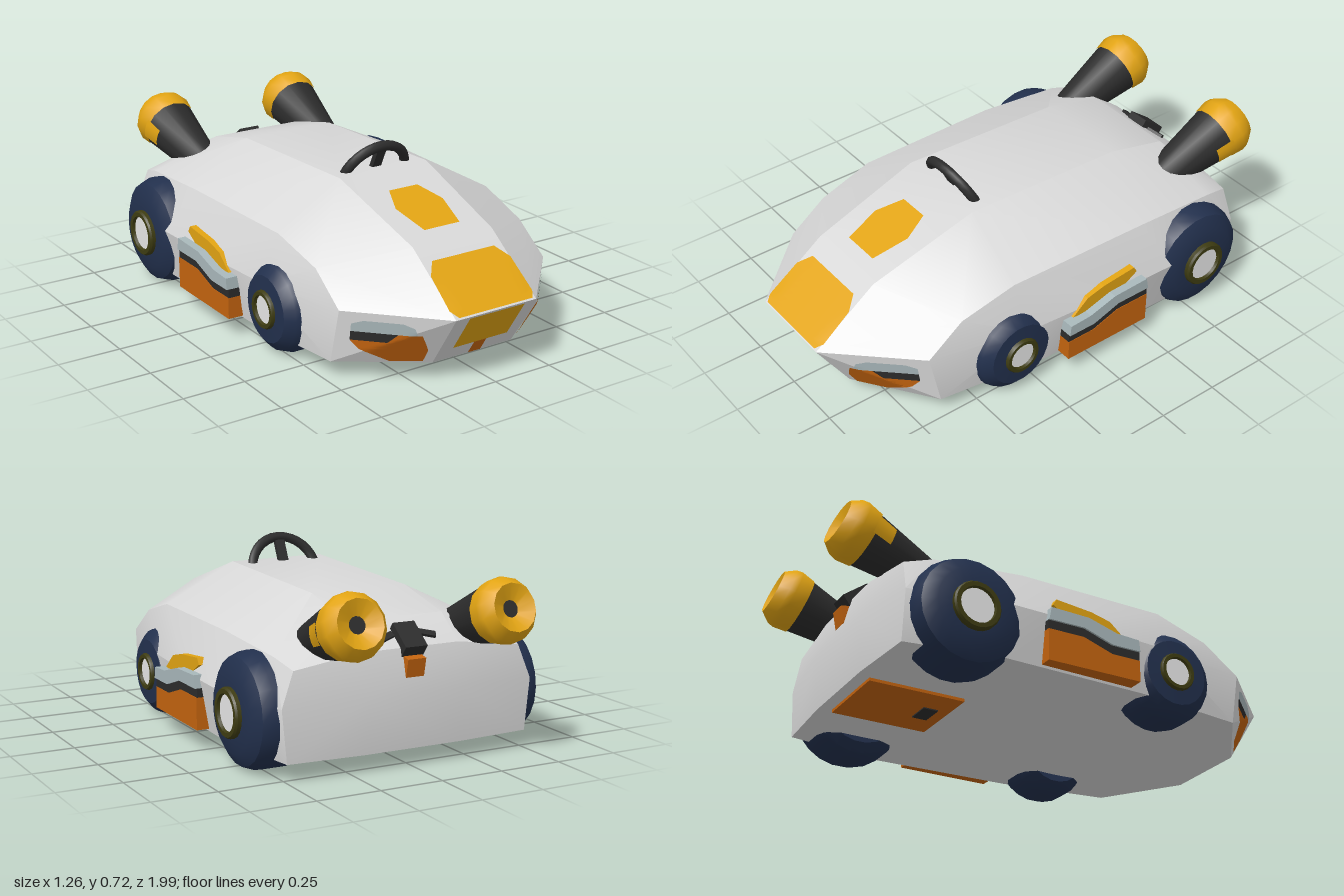
import * as THREE from 'three';
import { mergeVertices, toCreasedNormals } from 'three/addons/utils/BufferGeometryUtils.js';
import { ConvexGeometry } from 'three/addons/geometries/ConvexGeometry.js';

const material = (name, color, side = THREE.FrontSide) => {
  const m = new THREE.MeshStandardMaterial({ color, side });
  m.name = name;
  return m;
};

export function createModel() {
  const car = new THREE.Group();
  car.name = 'car';
  const white = material('bodyGrey', 0xd8d8d8);
  const cap = material('hubWhite', 0xffffff);
  const yellow = material('yellow', 0xe2a413);
  const orange = material('orange', 0xc4640f);
  const dark = material('charcoal', 0x2c2c2c);
  const navy = material('navy', 0x22304d);
  const olive = material('olive', 0x3e3c12);
  const pale = material('paleGrey', 0xa9b8bb);

  const add = (name, geometry, mat, parent = car) => {
    const mesh = new THREE.Mesh(geometry, mat);
    mesh.name = name;
    parent.add(mesh);
    return mesh;
  };
  const box = (name, w, h, d, x, y, z, mat, rx = 0) => {
    const m = add(name, new THREE.BoxGeometry(w, h, d), mat);
    m.position.set(x, y, z);
    m.rotation.x = rx;
    return m;
  };
  const lathe = (points, segments, start = 0, sweep = Math.PI * 2) => toCreasedNormals(
    new THREE.LatheGeometry(points.map(p => new THREE.Vector2(...p)), segments, start, sweep), 0.6);

  // Faceted convex shell, half outline mirrored across x
  const half = [
    [0.18, 0.07, 0.86], [0.48, 0.07, 0.65], [0.54, 0.07, 0.2], [0.56, 0.07, -0.4], [0.5, 0.07, -0.78], [0.2, 0.07, -0.8],
    [0.18, 0.28, 0.993], [0.47, 0.28, 0.69], [0.555, 0.27, 0.3], [0.585, 0.27, -0.1], [0.595, 0.27, -0.4],
    [0.52, 0.27, -0.78], [0.2, 0.28, -0.82],
    [0.47, 0.39, 0.54], [0.485, 0.455, 0.31], [0.5, 0.455, -0.3], [0.49, 0.43, -0.66], [0.47, 0.4, -0.77],
    [0.18, 0.47, 0.73], [0.2, 0.61, 0.29], [0.2, 0.59, -0.4], [0.2, 0.53, -0.66], [0.2, 0.44, -0.78],
  ];
  const hull = new ConvexGeometry(half.flatMap(([x, y, z]) =>
    [new THREE.Vector3(x, y, z), new THREE.Vector3(-x, y, z)]));
  // Planes that face forward give the depth of the nose surface at any x, y
  const planes = [];
  const hp = hull.attributes.position;
  for (let i = 0; i < hp.count; i += 3) {
    const [a, b, c] = [0, 1, 2].map(k => new THREE.Vector3().fromBufferAttribute(hp, i + k));
    const plane = new THREE.Plane().setFromCoplanarPoints(a, b, c);
    if (plane.normal.z > 0.02) planes.push(plane);
  }
  const noseZ = (x, y) => Math.min(...planes.map(({ normal: n, constant: c }) =>
    (-c - n.x * x - n.y * y) / n.z));
  hull.deleteAttribute('normal');
  add('bodyShell', toCreasedNormals(mergeVertices(hull, 1e-4), 0.42), white);

  // Thin painted panel on the nose; rows run top to bottom as [y, xMin, xMax]
  const decal = (name, rows, mat, lift = 0.007) => {
    const pos = [], idx = [], cols = 12, sub = 5;
    for (let r = 0; r <= (rows.length - 1) * sub; r++) {
      const k = Math.min(Math.floor(r / sub), rows.length - 2), t = r / sub - k;
      const [y, x0, x1] = rows[k].map((v, j) => v + (rows[k + 1][j] - v) * t);
      for (let c = 0; c <= cols; c++) {
        const x = x0 + (x1 - x0) * c / cols;
        pos.push(x, y, noseZ(x, y) + lift);
        if (r && c) {
          const d = r * (cols + 1) + c, b = d - cols - 1;
          idx.push(b - 1, d - 1, b, b, d - 1, d);
        }
      }
    }
    const g = new THREE.BufferGeometry();
    g.setAttribute('position', new THREE.Float32BufferAttribute(pos, 3));
    g.setIndex(idx);
    add(name, toCreasedNormals(g, 0.4), mat);
  };
  const even = rows => rows.map(([y, x]) => [y, -x, x]);
  decal('hoodPanel', even([[0.573, 0.065], [0.54, 0.108], [0.495, 0.08]]), yellow, 0.012);
  decal('nosePanel', even([[0.43, 0.14], [0.395, 0.18], [0.305, 0.185], [0.287, 0.165]]), yellow);
  decal('grille', even([[0.277, 0.123], [0.13, 0.123]]), yellow);
  decal('grilleTab', even([[0.13, 0.028], [0.075, 0.028]]), orange);
  const flip = rows => rows.map(([y, a, b]) => [y, -b, -a]);
  for (const [side, f] of [['left', r => r], ['right', flip]]) {
    decal(side + 'HeadlightTop', f([[0.25, 0.31, 0.41], [0.235, 0.28, 0.44], [0.205, 0.27, 0.44]]), pale);
    decal(side + 'HeadlightStripe', f([[0.205, 0.32, 0.44], [0.17, 0.345, 0.44]]), dark);
    decal(side + 'HeadlightBase', f([[0.205, 0.255, 0.32], [0.17, 0.235, 0.345]]), orange);
    decal(side + 'HeadlightLower', f([[0.17, 0.235, 0.44], [0.135, 0.217, 0.415], [0.08, 0.215, 0.315]]), orange);
  }

  // Side pods: profiles in (z, y) run right through the body so both sides match
  const pod = (name, points, x, mat) => {
    const shape = new THREE.Shape(points.map(([z, y]) => new THREE.Vector2(-z, y)));
    const m = add(name, new THREE.ExtrudeGeometry(shape, { depth: 2 * x, bevelEnabled: false }), mat);
    m.rotation.y = Math.PI / 2;
    m.position.x = -x;
  };
  pod('podLower', [[0.14, 0.08], [0.14, 0.165], [0.02, 0.165], [-0.1, 0.205], [-0.25, 0.205], [-0.25, 0.08]], 0.607, orange);
  pod('podStripe', [[0.14, 0.165], [0.14, 0.2], [0.02, 0.2], [-0.1, 0.24], [-0.25, 0.24],
    [-0.25, 0.205], [-0.1, 0.205], [0.02, 0.165]], 0.605, dark);
  pod('podUpper', [[0.14, 0.2], [0.135, 0.245], [0.04, 0.25], [-0.08, 0.285], [-0.24, 0.29],
    [-0.25, 0.24], [-0.1, 0.24], [0.02, 0.2]], 0.613, pale);
  pod('podTop', [[0.1, 0.25], [0.03, 0.31], [-0.05, 0.33], [-0.2, 0.345], [-0.215, 0.32],
    [-0.15, 0.28], [-0.08, 0.28], [0.04, 0.245]], 0.58, yellow);

  // Wheels, with the lathe axis pointing outward along x
  const wheel = (name, s, y, z, tyre, hubR, hubX) => {
    const g = new THREE.Group();
    g.name = name;
    g.position.set(0, y, z);
    g.rotation.z = -s * Math.PI / 2;
    add('tyre', lathe(tyre, 22), navy, g);
    add('hubRing', lathe([[hubR, hubX - 0.08], [hubR, hubX - 0.008], [hubR * 0.94, hubX],
      [hubR * 0.76, hubX], [hubR * 0.7, hubX - 0.02]], 20), olive, g);
    const disc = add('hubCap', new THREE.CircleGeometry(hubR * 0.73, 20), cap, g);
    disc.rotation.x = -Math.PI / 2;
    disc.position.y = hubX - 0.012;
    car.add(g);
  };
  for (const s of [1, -1]) {
    const side = s > 0 ? 'left' : 'right';
    wheel(side + 'FrontWheel', s, 0.18, 0.335, [[0.05, 0.35], [0.14, 0.335], [0.17, 0.37], [0.18, 0.41],
      [0.18, 0.49], [0.165, 0.53], [0.13, 0.56], [0.06, 0.565]], 0.075, 0.578);
    wheel(side + 'RearWheel', s, 0.217, -0.545, [[0.05, 0.37], [0.17, 0.36], [0.205, 0.39], [0.217, 0.43],
      [0.217, 0.53], [0.2, 0.575], [0.15, 0.605], [0.07, 0.605]], 0.094, 0.628);

    // Flared exhaust with a yellow collar and a tongue on its outer side
    const pipe = new THREE.Group();
    pipe.name = side + 'Exhaust';
    pipe.position.set(s * 0.3, 0.45, -0.58);
    pipe.rotation.set(-1.23, 0, -s * 0.035);
    add('pipe', lathe([[0.065, -0.02], [0.114, 0.31]], 14), dark, pipe);
    add('collar', lathe([[0.115, 0.29], [0.124, 0.345], [0.119, 0.37], [0.09, 0.41], [0.03, 0.38]], 14), yellow, pipe);
    add('tongue', lathe([[0.107, 0.22], [0.12, 0.3]], 4, s * Math.PI / 2 - 0.3, 0.7), yellow, pipe);
    const bore = add('bore', new THREE.CircleGeometry(0.032, 12), dark, pipe);
    bore.rotation.x = -Math.PI / 2;
    bore.position.y = 0.381;
    car.add(pipe);

    // Small fins beside the tail light
    const fin = box(side + 'TailFin', 0.07, 0.012, 0.025, s * 0.085, 0.475, -0.742, dark, -0.64);
    fin.rotation.y = s * 0.35;
  }

  // Tail light
  box('tailBracket', 0.09, 0.05, 0.12, 0, 0.465, -0.755, dark, -0.65);
  box('tailLight', 0.075, 0.07, 0.05, 0, 0.375, -0.79, orange, -0.2);

  // Half-ring steering wheel and its column
  const rim = add('steeringWheel', new THREE.TorusGeometry(0.143, 0.02, 8, 16, Math.PI), dark);
  rim.position.set(0, 0.57, 0.215);
  rim.rotation.x = 0.45;
  box('steeringColumn', 0.04, 0.13, 0.02, 0, 0.63, 0.243, dark, 0.45);

  // Underside hatch
  box('hatch', 0.34, 0.014, 0.39, 0, 0.065, -0.555, orange);
  box('hatchVent', 0.1, 0.006, 0.06, 0, 0.056, -0.44, dark);
  return car;
}
